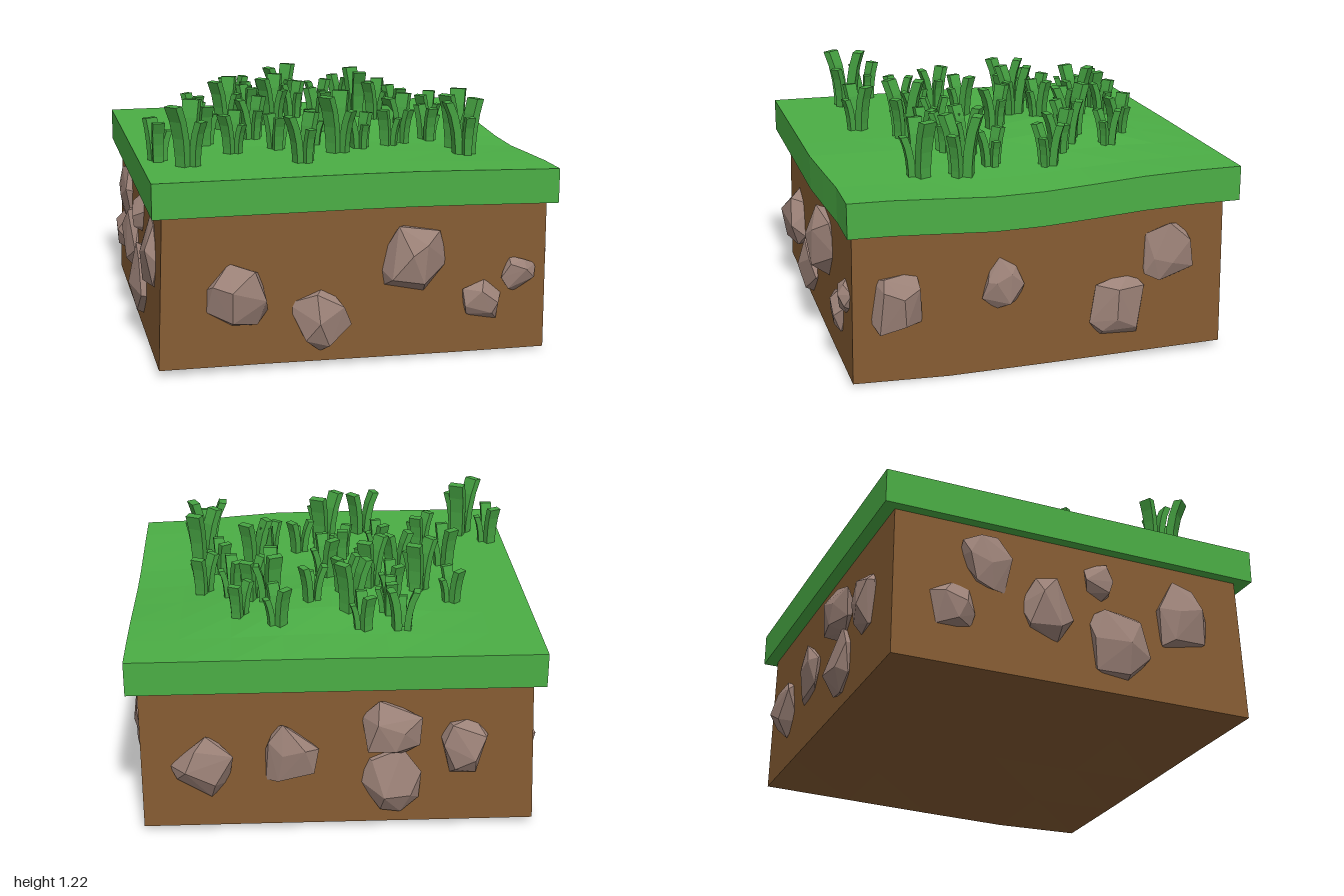
import * as THREE from 'three';
import { ConvexGeometry } from 'three/addons/geometries/ConvexGeometry.js';

const mat = (color) => new THREE.MeshStandardMaterial({ color, flatShading: true });
const grassMat = mat(0x4bae45);
const bladeMat = mat(0x46a342);
const soilMat = mat(0x865c33);
const rockMat = mat(0x9c8278);

// Small seeded random generator
function seeded(seed) {
  let s = seed * 7919 + 17;
  return () => (s = (s * 16807) % 2147483647) / 2147483647;
}

// Dip of the turf toward its right side, and the gentle mound behind the middle
const dip = (x, z) => THREE.MathUtils.smoothstep(x, 0.1, 1)
  * (0.05 * Math.exp(-(((z - 0.1) / 0.5) ** 2)) + 0.03 * Math.max(z, 0));
const mound = (x, z) => 0.055 * Math.exp(-(((x - 0.02) / 0.42) ** 2) - ((z + 0.35) / 0.33) ** 2);
const groundTop = (x, z) => 0.92 - dip(x, z) + mound(x, z);

// Move every vertex of a geometry by a rule
function warp(geometry, rule) {
  const p = geometry.attributes.position;
  const v = new THREE.Vector3();
  for (let i = 0; i < p.count; i++) {
    rule(v.fromBufferAttribute(p, i));
    p.setXYZ(i, v.x, v.y, v.z);
  }
  geometry.computeVertexNormals();
  return geometry;
}

function makeTurf() {
  const g = new THREE.BoxGeometry(1.925, 1, 1.915, 8, 1, 8);
  warp(g, (v) => {
    const { x, z } = v;
    v.y = v.y > 0 ? groundTop(x, z) : 0.755 - dip(x, z);
    v.x += 0.008;
    if (z > 0.9) v.z -= 0.045 * THREE.MathUtils.smoothstep(x, 0.2, 0.8) + 0.007;
    else v.z -= 0.007;
  });
  const m = new THREE.Mesh(g, grassMat);
  m.name = 'grassSlab';
  return m;
}

function makeSoil() {
  const g = new THREE.BoxGeometry(1.84, 1, 1.8, 4, 2, 4);
  warp(g, (v) => {
    const { x, z } = v;
    const t = v.y + 0.5;
    const right = THREE.MathUtils.smoothstep(x, -0.9, 0.9);
    const bottom = THREE.MathUtils.lerp(0.03, 0.025 * Math.abs(z - 0.4), right);
    v.y = THREE.MathUtils.lerp(bottom, 0.8 - dip(x, z), t);
    if (x < -0.9) v.x -= 0.012 - 0.03 * t;
    v.z -= 0.012 + 0.01 * t * Math.sign(z);
  });
  const m = new THREE.Mesh(g, soilMat);
  m.name = 'soilBlock';
  return m;
}

// Faceted stone: hull of jittered sphere points, fitted to the half sizes given
function makeRock(seed, hw, hh, depth) {
  const rnd = seeded(seed);
  const n = 14;
  const pts = [];
  for (let i = 0; i < n; i++) {
    const y = 1 - (2 * (i + 0.5)) / n;
    const a = i * 2.4 + rnd() * 0.9 + seed;
    const r = Math.sqrt(1 - y * y);
    pts.push(new THREE.Vector3(r * Math.cos(a), y, r * Math.sin(a)).multiplyScalar(0.85 + rnd() * 0.2));
  }
  const tilt = new THREE.Euler(rnd() * 6, rnd() * 6, rnd() * 6);
  pts.forEach((p) => p.applyEuler(tilt));
  const g = new ConvexGeometry(pts);
  g.center();
  const b = g.boundingBox.getSize(new THREE.Vector3());
  g.scale((2 * hw) / b.x, (2 * hh) / b.y, (2 * depth) / b.z);
  const m = new THREE.Mesh(g, rockMat);
  m.name = 'rock';
  return m;
}

// Stones per side: [along the side, height, half width, half height, protrusion]
const sides = [
  { name: 'frontRocks', turn: 0, face: 0.88, rocks: [
    [-0.575, 0.36, 0.15, 0.155, 0.105], [-0.18, 0.225, 0.15, 0.155, 0.085],
    [0.27, 0.485, 0.17, 0.17, 0.105], [0.61, 0.265, 0.1, 0.1, 0.05], [0.785, 0.385, 0.09, 0.085, 0.05]] },
  { name: 'rightRocks', turn: Math.PI / 2, face: 0.92, rocks: [
    [-0.68, 0.385, 0.12, 0.14, 0.07], [-0.18, 0.435, 0.1, 0.125, 0.04],
    [0.375, 0.27, 0.135, 0.155, 0.06], [0.63, 0.52, 0.13, 0.14, 0.045]] },
  { name: 'backRocks', turn: Math.PI, face: 0.91, rocks: [
    [-0.64, 0.35, 0.15, 0.16, 0.07], [-0.22, 0.42, 0.13, 0.15, 0.05],
    [0.25, 0.54, 0.14, 0.14, 0.08], [0.24, 0.26, 0.15, 0.17, 0.08], [0.59, 0.43, 0.11, 0.14, 0.07]] },
  { name: 'leftRocks', turn: -Math.PI / 2, face: 0.915, rocks: [
    [-0.63, 0.31, 0.11, 0.12, 0.06], [-0.46, 0.57, 0.12, 0.14, 0.05], [-0.16, 0.4, 0.13, 0.17, 0.07],
    [0.21, 0.27, 0.15, 0.18, 0.085], [0.12, 0.59, 0.08, 0.1, 0.05], [0.56, 0.5, 0.14, 0.18, 0.055]] },
];

// Four-sided blade: straight stem, tip bent outward along +z
function makeBlade(width, thick, height, bend) {
  const g = new THREE.BoxGeometry(width, 1, thick, 1, 4, 1);
  warp(g, (v) => {
    const t = v.y + 0.5;
    v.x *= 0.85 + 0.25 * t;
    v.z += bend * t ** 2.5;
    v.y = t * height - (t > 0.9 ? 0.5 * v.z * bend / height : 0);
  });
  const m = new THREE.Mesh(g, bladeMat);
  m.name = 'blade';
  return m;
}

// Three blades leaning apart: [direction, distance, width, thickness, height, bend]
const bladeSet = [
  [2.7, 0.03, 0.07, 0.045, 1.0, 0.045],
  [-0.85, 0.035, 0.065, 0.04, 0.98, 0.06],
  [0.75, 0.04, 0.045, 0.035, 0.72, 0.04],
];

function makeClump(x, z, height, turn) {
  const clump = new THREE.Group();
  clump.name = 'grassClump';
  const s = height / 0.29;
  const w = 0.35 + 0.65 * s;
  for (const [a, d, width, thick, h, bend] of bladeSet) {
    const blade = makeBlade(width * w, thick * w, height * h + 0.03, bend * s);
    blade.position.set(Math.sin(a) * d * w, 0, Math.cos(a) * d * w);
    blade.rotation.y = a;
    clump.add(blade);
  }
  clump.position.set(x, groundTop(x, z) - 0.03, z);
  clump.rotation.y = turn;
  return clump;
}

// Clumps: [x, z, height, turn]
const clumps = [
  [-0.31, -0.67, 0.2, -0.9], [-0.13, -0.67, 0.17, 1], [-0.26, -0.52, 0.17, 0.6], [-0.08, -0.5, 0.25, -0.3],
  [0.27, -0.61, 0.19, 1.2], [0.45, -0.49, 0.17, 0], [-0.58, -0.35, 0.17, 1.2], [-0.29, -0.35, 0.18, 1],
  [-0.06, -0.29, 0.18, -0.4], [0.1, -0.39, 0.17, -0.6], [-0.43, -0.22, 0.26, 0], [-0.19, -0.2, 0.25, 0],
  [0.3, -0.35, 0.25, 0.8], [0.39, -0.3, 0.21, 0], [0.48, -0.23, 0.2, 1],
  [0.63, -0.13, 0.2, 0], [0.02, -0.04, 0.21, 1.1], [-0.34, 0.05, 0.21, -0.4], [-0.6, 0.13, 0.21, 1],
  [-0.49, 0.35, 0.2, 0], [-0.27, 0.31, 0.17, 1], [-0.08, 0.25, 0.17, 0.4], [0.01, 0.43, 0.29, 0],
  [0.14, 0.36, 0.17, -0.5], [0.3, 0.29, 0.19, 0.2], [0.38, 0.21, 0.24, -0.2], [0.55, 0.13, 0.18, 1],
  [0.65, 0.3, 0.29, 0], [0.63, 0.5, 0.27, -0.7], [-0.87, 0.46, 0.2, 0.9], [-0.74, 0.59, 0.3, 0],
  [-0.2, 0.63, 0.23, -0.4],
];

export function createModel() {
  const model = new THREE.Group();
  model.name = 'grassBlock';
  model.add(makeSoil(), makeTurf());

  // Stones set into the four sides
  let seed = 1;
  for (const { name, turn, face, rocks } of sides) {
    const side = new THREE.Group();
    side.name = name;
    side.rotation.y = turn;
    for (const [u, y, hw, hh, depth] of rocks) {
      const rock = makeRock(seed++, hw, hh, depth);
      rock.position.set(u, y, face);
      side.add(rock);
    }
    model.add(side);
  }

  // Grass tufts
  const grass = new THREE.Group();
  grass.name = 'grassTufts';
  clumps.forEach((c) => grass.add(makeClump(...c)));
  model.add(grass);
  return model;
}
